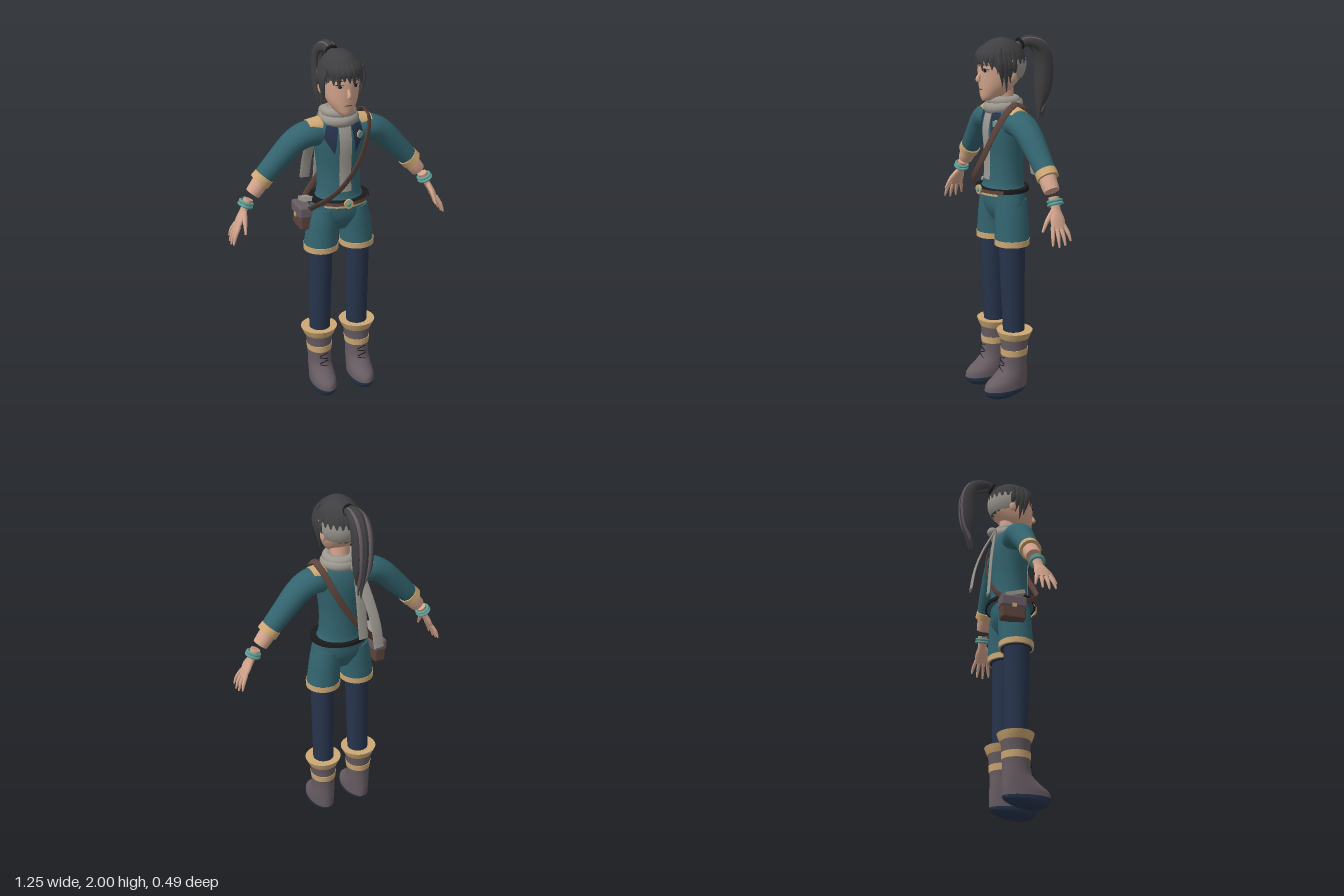
import * as THREE from 'three';
import { RoundedBoxGeometry } from 'three/addons/geometries/RoundedBoxGeometry.js';

const V3 = (x, y, z) => new THREE.Vector3(x, y, z);
const UP = V3(0, 1, 0), X = V3(1, 0, 0), Z = V3(0, 0, 1);

// Smoothly interpolates rows of [x, y, z, radiusAlongRef, radiusAcross]
function track(rows) {
  const a = new THREE.CatmullRomCurve3(rows.map(r => V3(r[0], r[1], r[2])), false, 'catmullrom', 0.5);
  const b = new THREE.CatmullRomCurve3(rows.map(r => V3(r[3], r[4], 0)), false, 'catmullrom', 0.5);
  return t => {
    const p = a.getPoint(t), r = b.getPoint(t);
    return { p, w: Math.max(r.x, 0.001), d: Math.max(r.y, 0.001), tan: a.getTangent(t) };
  };
}

// Sweeps an elliptical section along rows; axis keeps every section parallel
function sweep(rows, ref, axis = null, sides = 24) {
  const at = track(rows), n = (rows.length - 1) * 6, pos = [], idx = [];
  for (let i = 0; i <= n; i++) {
    const { p, w, d, tan } = at(i / n);
    const T = axis || tan;
    const U = (typeof ref === 'function' ? ref(p) : ref).clone();
    U.addScaledVector(T, -U.dot(T)).normalize();
    const V = T.clone().cross(U);
    for (let j = 0; j < sides; j++) {
      const a = j / sides * Math.PI * 2;
      const q = p.clone().addScaledVector(U, w * Math.cos(a)).addScaledVector(V, d * Math.sin(a));
      pos.push(q.x, q.y, q.z);
      if (i < n) {
        const k = (j + 1) % sides, A = i * sides, B = A + sides;
        idx.push(A + j, A + k, B + k, A + j, B + k, B + j);
      }
    }
  }
  for (const end of [0, n]) {
    const base = pos.length / 3, c = at(end / n).p;
    pos.push(...pos.slice(end * sides * 3, (end + 1) * sides * 3), c.x, c.y, c.z);
    for (let j = 0; j < sides; j++) {
      const k = (j + 1) % sides;
      idx.push(base + sides, base + (end ? j : k), base + (end ? k : j));
    }
  }
  return surface(pos, idx);
}

function surface(pos, idx) {
  const g = new THREE.BufferGeometry();
  g.setAttribute('position', new THREE.Float32BufferAttribute(pos, 3));
  g.setIndex(idx);
  g.computeVertexNormals();
  return g;
}

// Horizontal sections: [y, halfWidth, halfDepth, zCentre]
const level = (rows, x = 0) => rows.map(([y, w, d, z]) => [x, y, z, w, d]);
const stack = (rows, x = 0, sides = 32) => sweep(level(rows, x), X, UP, sides);

// Thin patch lying on the front of a stacked form, between two x limits
function patch(rows, y0, y1, xa, xb, lift = 0.004) {
  const at = track(level(rows)), pos = [], idx = [], N = 16, M = 8;
  for (let i = 0; i <= N; i++) {
    const y = y0 + (y1 - y0) * i / N;
    let lo = 0, hi = 1;
    for (let k = 0; k < 24; k++) { const m = (lo + hi) / 2; at(m).p.y < y ? lo = m : hi = m; }
    const s = at(lo), u = i / N;
    for (let j = 0; j <= M; j++) {
      const x = xa(u) + (xb(u) - xa(u)) * j / M;
      pos.push(x, y, s.p.z + s.d * Math.sqrt(Math.max(0, 1 - (x / s.w) ** 2)) + lift);
      if (i < N && j < M) {
        const a = i * (M + 1) + j, b = a + M + 1;
        idx.push(a, a + 1, b + 1, a, b + 1, b);
      }
    }
  }
  return surface(pos, idx);
}

const TORSO = [[1.175, 0.155, 0.13, 0.06], [1.215, 0.125, 0.108, 0.055], [1.35, 0.12, 0.102, 0.052], [1.5, 0.138, 0.11, 0.052],
  [1.58, 0.148, 0.098, 0.05], [1.63, 0.115, 0.075, 0.05], [1.65, 0.06, 0.045, 0.05]];
const HEAD = [[1.668, 0.022, 0.03, 0.15], [1.69, 0.05, 0.066, 0.122], [1.74, 0.08, 0.098, 0.095], [1.8, 0.095, 0.125, 0.072],
  [1.86, 0.1, 0.13, 0.067], [1.92, 0.092, 0.118, 0.067], [1.97, 0.05, 0.07, 0.067]];
const BELT = [[1.176, 0.167, 0.142, 0.063], [1.196, 0.165, 0.14, 0.063]];

export function createModel() {
  const root = new THREE.Group();
  const mat = (name, color) => {
    const m = new THREE.MeshStandardMaterial({ color, side: THREE.DoubleSide });
    m.name = name;
    return m;
  };
  const teal = mat('tealCloth', 0x33646f), tan = mat('tanTrim', 0xcda874), navy = mat('navyCloth', 0x27344c),
    mauve = mat('mauveGrey', 0x675c62), skin = mat('skin', 0xd2a48c), hair = mat('hair', 0x3f3f41),
    brown = mat('brownLeather', 0x5c443c), grey = mat('scarfCloth', 0x9b978f), aqua = mat('turquoise', 0x5f9f98),
    dark = mat('darkDetail', 0x1c1a1c);
  const add = (name, geo, m, p) => {
    const o = new THREE.Mesh(geo, m);
    o.name = name;
    if (p) o.position.set(...p);
    root.add(o);
    return o;
  };

  // Jacket, shirt and waist
  add('jacket', stack(TORSO), teal);
  add('shirt', patch(TORSO, 1.24, 1.615, () => -0.034, () => 0.034), grey);
  add('shorts', stack([[1, 0.09, 0.05, 0.058], [1.05, 0.15, 0.08, 0.058], [1.1, 0.168, 0.097, 0.056], [1.18, 0.155, 0.1, 0.055]]), teal);
  add('waistTrim', patch([[1.15, 0.165, 0.14, 0.058], [1.19, 0.165, 0.14, 0.058]], 1.163, 1.176, () => -0.12, () => 0.12), tan);
  add('belt', stack(BELT), dark);
  add('beltFront', patch(BELT, 1.1765, 1.1955, () => -0.145, () => 0.145, 0.003), brown);
  add('buckle', new THREE.CylinderGeometry(0.026, 0.026, 0.012, 20).rotateX(Math.PI / 2), tan, [0, 1.187, 0.206]);
  add('buckleStone', new THREE.SphereGeometry(0.014, 16, 10).scale(1, 1, 0.5), aqua, [0, 1.187, 0.212]);
  add('badgeRim', new THREE.CylinderGeometry(0.023, 0.023, 0.006, 6).rotateX(Math.PI / 2), tan, [0.085, 1.55, 0.146]).rotation.y = 0.5;
  add('badge', new THREE.CylinderGeometry(0.018, 0.018, 0.008, 6).rotateX(Math.PI / 2), aqua, [0.087, 1.55, 0.149]).rotation.y = 0.5;

  for (const s of [1, -1]) {
    const side = s > 0 ? 'left' : 'right';
    const put = (name, geo, m, p) => add(side + name, geo, m, p);
    const limb = (rows, ref = Z, n = 20) => sweep(rows.map(([x, ...r]) => [s * x, ...r]), ref, null, n);

    // Lapel, sleeve and shoulder patch
    const inner = u => s * (0.036 + 0.022 * (1 - u)), outer = u => s * (0.061 + 0.049 * Math.min(1, u * 1.8) - 0.04 * Math.max(0, u - 0.6));
    put('Lapel', patch(TORSO, 1.46, 1.61, s > 0 ? inner : outer, s > 0 ? outer : inner, 0.006), navy);
    put('Sleeve', limb([[0.08, 1.55, 0.05, 0.07, 0.07], [0.17, 1.553, 0.05, 0.079, 0.07], [0.25, 1.515, 0.045, 0.073, 0.066],
      [0.34, 1.425, 0.04, 0.063, 0.06], [0.425, 1.335, 0.038, 0.053, 0.053]]), teal);
    put('ShoulderPatch', limb([[0.095, 1.593, 0.05, 0.06, 0.05], [0.17, 1.58, 0.05, 0.06, 0.05]]), tan);
    put('Cuff', limb([[0.412, 1.346, 0.038, 0.057, 0.057], [0.44, 1.316, 0.038, 0.059, 0.058]]), tan);
    put('Forearm', limb([[0.42, 1.335, 0.038, 0.045, 0.045], [0.455, 1.287, 0.04, 0.045, 0.044], [0.48, 1.256, 0.04, 0.041, 0.041]]), skin);

    // Hand with spread fingers
    put('Palm', limb([[0.506, 1.232, 0.045, 0.029, 0.027], [0.533, 1.175, 0.048, 0.026, 0.018],
      [0.558, 1.13, 0.054, 0.041, 0.016], [0.58, 1.085, 0.058, 0.04, 0.012]]), skin);
    for (let i = 0; i < 4; i++) {
      const o = (i - 1.5) * 0.022, l = [0.78, 0.95, 1, 0.9][i];
      put('Finger', limb([[0.574, 1.098, 0.058 + o, 0.011, 0.011], [0.574 + 0.028 * l, 1.098 - 0.05 * l, 0.058 + o * 1.4, 0.01, 0.01],
        [0.574 + 0.044 * l, 1.098 - 0.1 * l, 0.058 + o * 1.65, 0.005, 0.005]], Z, 10), skin);
    }
    put('Thumb', limb([[0.535, 1.17, 0.066, 0.014, 0.013], [0.545, 1.125, 0.105, 0.012, 0.012], [0.553, 1.07, 0.138, 0.006, 0.006]], X, 10), skin);
    const lean = new THREE.Quaternion().setFromUnitVectors(Z, V3(s * 0.4, -0.9, 0).normalize());
    [[0.517, 1.214, 0.034], [0.524, 1.199, 0.036]].forEach(([x, y, r]) =>
      put('Bracelet', new THREE.TorusGeometry(r, 0.008, 10, 28), aqua, [s * x, y, 0.045]).quaternion.copy(lean));

    // Shorts leg and stocking
    put('ShortsLeg', limb([[0.085, 1.13, 0.056, 0.076, 0.09], [0.092, 1.05, 0.057, 0.086, 0.094], [0.099, 0.98, 0.058, 0.089, 0.094],
      [0.105, 0.9, 0.06, 0.094, 0.095]], X, 28), teal);
    put('ShortsHem', stack([[0.885, 0.097, 0.097, 0.06], [0.917, 0.097, 0.097, 0.06]], s * 0.105), tan);
    put('HemLining', stack([[0.882, 0.086, 0.086, 0.06], [0.887, 0.086, 0.086, 0.06]], s * 0.105), navy);
    put('Stocking', limb([[0.108, 0.95, 0.063, 0.066, 0.073], [0.11, 0.7, 0.06, 0.063, 0.07], [0.113, 0.36, 0.052, 0.059, 0.06]], X, 28), navy);

    // Boot
    const bx = s * 0.116;
    put('Boot', stack([[0.048, 0.069, 0.131, 0.108], [0.085, 0.07, 0.126, 0.101], [0.125, 0.068, 0.1, 0.076], [0.165, 0.066, 0.08, 0.058],
      [0.22, 0.067, 0.074, 0.053], [0.29, 0.072, 0.076, 0.051], [0.35, 0.08, 0.08, 0.05]], bx), mauve);
    put('BootSole', stack([[0, 0.038, 0.055, 0.135], [0.012, 0.056, 0.09, 0.125], [0.032, 0.067, 0.122, 0.112], [0.052, 0.07, 0.133, 0.108]], bx), navy);
    put('BootBand', stack([[0.247, 0.071, 0.077, 0.052], [0.284, 0.074, 0.079, 0.051]], bx), tan);
    put('BootCuff', stack([[0.345, 0.084, 0.084, 0.05], [0.365, 0.094, 0.092, 0.05], [0.388, 0.104, 0.1, 0.05]], bx), tan);
    for (let i = 0; i < 4; i++) {
      const lace = put('Lace', new THREE.BoxGeometry(0.05, 0.003, 0.006), dark, [bx, 0.165 + i * 0.022, 0.136 - i * 0.003]);
      lace.rotation.z = i % 2 ? 0.3 : -0.3;
    }

    // Eyes, brows and ears
    const lens = (cx, w, up) => [u => s * cx - w * Math.sin(Math.PI * u) ** up, u => s * cx + w * Math.sin(Math.PI * u) ** up];
    put('EyeWhite', patch(HEAD, 1.821, 1.838, ...lens(0.044, 0.018, 0.6), 0.002), grey);
    put('Iris', patch(HEAD, 1.821, 1.838, ...lens(0.044, 0.008, 0.6), 0.004), dark);
    put('Lash', patch(HEAD, 1.837, 1.841, ...lens(0.044, 0.02, 0.3), 0.004), dark);
    put('Brow', patch(HEAD, 1.858, 1.863, ...lens(0.046, 0.022, 0.3), 0.004), hair);
    put('Ear', new THREE.SphereGeometry(1, 16, 12).scale(0.012, 0.033, 0.022), skin, [s * 0.1, 1.8, 0.05]);

    // Side locks
    for (let i = 0; i < 4; i++)
      put('SideLock', limb([[0.095, 1.92, 0.13 - i * 0.026, 0.018, 0.012], [0.112, 1.85, 0.128 - i * 0.026, 0.019, 0.01],
        [0.098, [1.75, 1.72, 1.765, 1.8][i], 0.112 - i * 0.024, 0.002, 0.002]], Z, 10), hair);
  }

  // Head
  add('head', stack(HEAD, 0, 40), skin);
  add('neck', stack([[1.58, 0.056, 0.056, 0.05], [1.78, 0.05, 0.058, 0.058]]), skin);
  add('nose', sweep([[0, 1.82, 0.19, 0.007, 0.006], [0, 1.785, 0.206, 0.011, 0.013], [0, 1.771, 0.202, 0.012, 0.01]], X, null, 14), skin);
  add('mouth', patch(HEAD, 1.726, 1.732, u => -0.022 * Math.sin(Math.PI * u) ** 0.5, u => 0.022 * Math.sin(Math.PI * u) ** 0.5, 0.003), brown);

  // Hair cap: short in front, long to the nape, with combed ridges
  const cap = new THREE.SphereGeometry(1, 120, 24), cp = cap.attributes.position, uv = cap.attributes.uv;
  for (let i = 0; i < cp.count; i++) {
    const a = uv.getX(i) * Math.PI * 2, f = (1 - Math.cos(a)) / 2;
    const t = (1 - uv.getY(i)) * (1.42 + 0.88 * Math.pow(f, 0.8) + 0.04 * Math.sin(a * 17));
    const r = 1 + 0.018 * Math.sin(a * 30) * Math.sin(t);
    cp.setXYZ(i, Math.sin(t) * Math.sin(a) * 0.113 * r, Math.cos(t) * 0.135, Math.sin(t) * Math.cos(a) * 0.137 * r);
  }
  cap.computeVertexNormals();
  add('hairCap', cap, hair, [0, 1.86, 0.067]);

  // Lighter brushed-up hair at the nape, with a pointed upper edge
  const nape = new THREE.SphereGeometry(1, 48, 12, Math.PI, Math.PI, 1.5, 0.66), np = nape.attributes.position;
  for (let i = 0; i < np.count; i++) {
    const tip = Math.floor(i / 49) === 0 ? (i % 49 % 4 < 2 ? 0.12 : -0.08) : 0;
    np.setXYZ(i, np.getX(i) * 0.117, (np.getY(i) + tip) * 0.137, np.getZ(i) * 0.141);
  }
  nape.computeVertexNormals();
  add('napeHair', nape, grey, [0, 1.86, 0.067]);

  // Fringe
  for (let i = 0; i < 9; i++) {
    const a = (i - 4) * 0.25, sx = Math.sin(a), cz = Math.cos(a), end = 1.862 - 0.014 * (i % 3) - 0.02 * Math.abs(sx);
    add('fringeLock', sweep([[sx * 0.09, 1.95, 0.067 + cz * 0.098, 0.016, 0.008], [sx * 0.108, 1.905, 0.067 + cz * 0.134, 0.021, 0.009],
      [sx * 0.11 + 0.006, end, 0.067 + cz * 0.134, 0.002, 0.002]], () => V3(cz, 0, -sx), null, 10), hair);
  }

  // Ponytail made of overlapping strands
  for (let i = 0; i < 7; i++) {
    const o = (i - 3) / 3, e = Math.abs(o), k = (i % 2) * 0.018;
    add('ponytailStrand', sweep([[o * 0.014, 1.945, -0.03, 0.012, 0.018], [o * 0.026, 1.977 - e * 0.012, -0.09, 0.015, 0.022],
      [o * 0.038, 1.95 - e * 0.015, -0.165 - k / 3, 0.017, 0.03], [o * 0.04, 1.85, -0.198 - k / 2, 0.016, 0.036],
      [o * 0.034, 1.7, -0.194 - k / 2, 0.014, 0.033], [o * 0.018, 1.5 + e * 0.09 + k, -0.165 - k, 0.002, 0.003]], X, null, 12),
    i % 4 === 1 ? mauve : hair);
  }
  add('hairTie', new THREE.TorusGeometry(0.026, 0.009, 8, 20), dark, [0, 1.958, -0.05]).rotation.x = 0.45;

  // Scarf: two wraps, a knot and hanging tails
  [[1.632, 0.074, 0.034, 0.08], [1.663, 0.068, 0.028, -0.04]].forEach(([y, r, t, tilt]) => {
    const wrap = add('scarfWrap', new THREE.TorusGeometry(r, t, 14, 36).rotateX(Math.PI / 2), grey, [0, y, 0.055]);
    wrap.rotation.set(tilt, 0, tilt * 0.6);
  });
  add('scarfKnot', new THREE.SphereGeometry(0.03, 18, 12), grey, [-0.04, 1.635, -0.058]);
  add('scarfLongTail', sweep([[-0.05, 1.63, -0.05, 0.026, 0.006], [-0.075, 1.48, -0.125, 0.029, 0.006],
    [-0.095, 1.34, -0.175, 0.03, 0.006], [-0.105, 1.205, -0.2, 0.03, 0.006]], X), grey);
  add('scarfShortTail', sweep([[-0.05, 1.63, -0.045, 0.024, 0.006], [-0.06, 1.45, -0.07, 0.028, 0.006],
    [-0.07, 1.21, -0.09, 0.028, 0.006]], X), grey);

  // Shoulder bag and its strap
  const out = p => V3(p.x, (p.y - 1.4) * 0.8, p.z - 0.055);
  const band = pts => sweep(pts.map(p => [...p, 0.005, 0.018]), out, null, 12);
  add('strapFront', band([[-0.185, 1.11, 0.05], [-0.165, 1.155, 0.11], [-0.12, 1.21, 0.175], [-0.04, 1.28, 0.2], [0.05, 1.39, 0.195],
    [0.115, 1.52, 0.165], [0.15, 1.62, 0.115], [0.145, 1.66, 0.06]]), brown);
  add('strapBack', band([[0.145, 1.66, 0.06], [0.13, 1.62, -0.015], [0.08, 1.5, -0.06], [0, 1.36, -0.068], [-0.1, 1.23, -0.062],
    [-0.165, 1.16, -0.035], [-0.19, 1.11, -0.01]]), brown);
  add('bagBody', new RoundedBoxGeometry(0.066, 0.12, 0.138, 3, 0.012), brown, [-0.195, 1.07, 0.012]);
  add('bagFlap', new RoundedBoxGeometry(0.076, 0.066, 0.15, 3, 0.012), mauve, [-0.195, 1.113, 0.012]);
  add('bagClasp', new THREE.BoxGeometry(0.006, 0.022, 0.022), tan, [-0.234, 1.085, 0.012]);
  add('bagPaper', new THREE.BoxGeometry(0.045, 0.024, 0.11), grey, [-0.182, 1.178, 0.03]).rotation.x = -0.3;

  return root;
}
